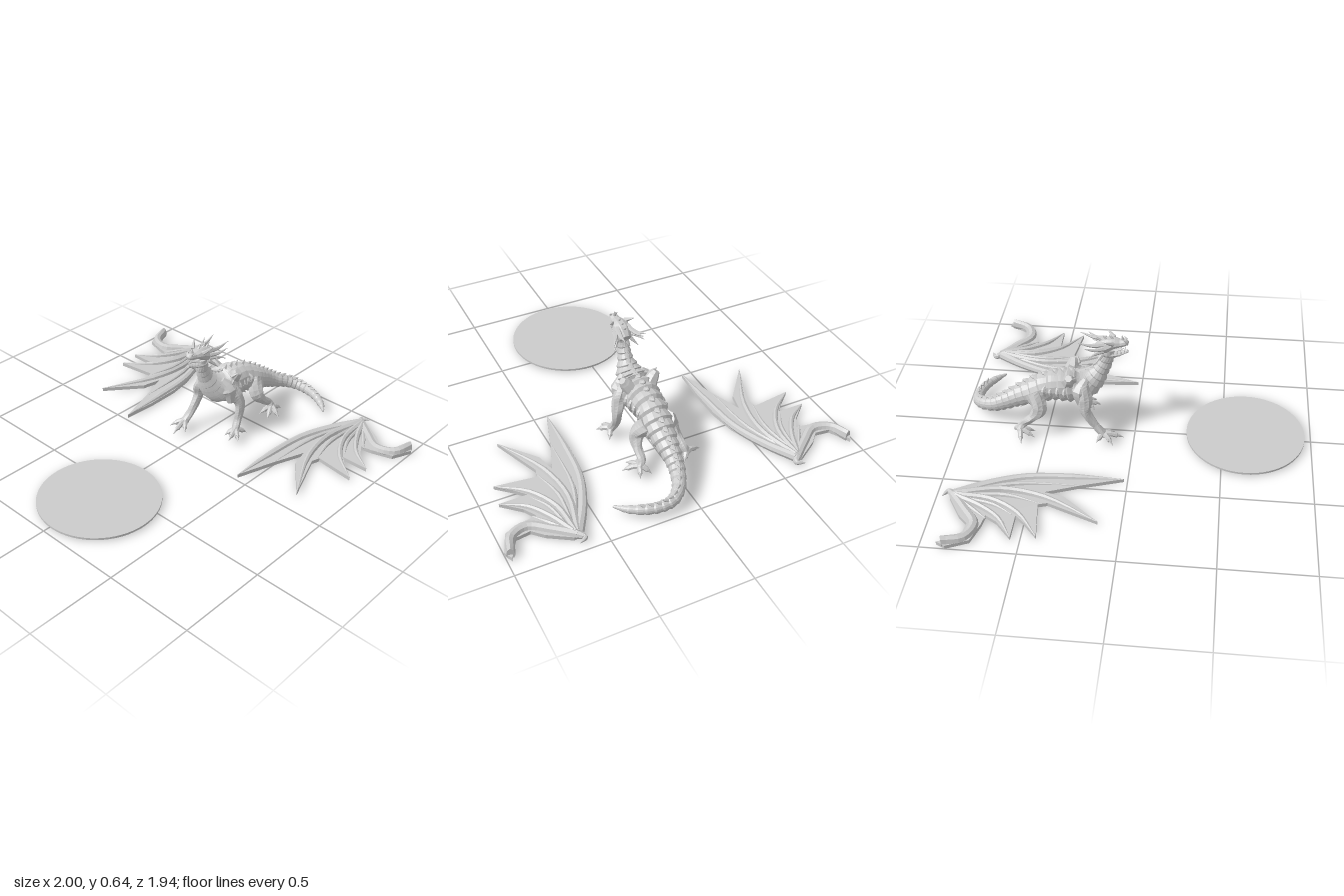
import * as THREE from 'three';

const V = (x, y, z) => new THREE.Vector3(x, y, z);
const Y = V(0, 1, 0), Z = V(0, 0, 1);
const sculpt = new THREE.MeshStandardMaterial({ color: 0xcccccc, flatShading: true });
const smooth = new THREE.MeshStandardMaterial({ color: 0xcccccc });

// Skin a closed body over stations [x, y, z, halfWidth, halfHeight]
function loft(name, st, { sides = 8, steps = 4, up = Y, shape = () => 1 } = {}) {
  const curve = new THREE.CatmullRomCurve3(st.map(s => V(s[0], s[1], s[2])));
  const rings = (st.length - 1) * steps, pos = [], idx = [];
  for (let i = 0; i <= rings; i++) {
    const t = i / rings, f = t * (st.length - 1), k = Math.min(Math.floor(f), st.length - 2);
    const lerp = c => THREE.MathUtils.lerp(st[k][c] ?? st[k][3], st[k + 1][c] ?? st[k + 1][3], f - k);
    const p = curve.getPoint(t), T = curve.getTangent(t);
    const S = T.clone().cross(up).normalize(), N = S.clone().cross(T);
    for (let j = 0; j < sides; j++) {
      const a = j / sides * Math.PI * 2, m = shape(i, a);
      const v = p.clone().addScaledVector(S, Math.cos(a) * lerp(3) * m).addScaledVector(N, Math.sin(a) * lerp(4) * m);
      pos.push(v.x, Math.max(v.y, 0), v.z);
      if (i < rings) {
        const q = i * sides, b = q + (j + 1) % sides;
        idx.push(q + j, q + sides + j, b, b, q + sides + j, b + sides);
      }
    }
  }
  // end caps
  const c0 = pos.length / 3, last = rings * sides;
  for (const e of [st[0], st[st.length - 1]]) pos.push(e[0], e[1], e[2]);
  for (let j = 0; j < sides; j++) {
    const n = (j + 1) % sides;
    idx.push(c0, j, n, c0 + 1, last + n, last + j);
  }
  const g = new THREE.BufferGeometry();
  g.setAttribute('position', new THREE.Float32BufferAttribute(pos, 3));
  g.setIndex(idx);
  g.computeVertexNormals();
  const mesh = new THREE.Mesh(g, sculpt);
  mesh.name = name;
  return mesh;
}

// Curved spike from a to b, bowed upward by lift
function spike(name, a, b, r, lift = 0) {
  const m = a.map((v, i) => (v + b[i]) / 2);
  return loft(name, [[...a, r], [m[0], m[1] + lift, m[2], r * 0.65], [...b, 0.001]], { sides: 6, steps: 3 });
}

function makeBody() {
  const g = new THREE.Group();
  g.name = 'body';
  const spine = [
    [0.035, 0.55, -0.15, 0.036, 0.04], [0.03, 0.47, -0.165, 0.034, 0.038], [0.03, 0.405, -0.195, 0.042, 0.045],
    [0.03, 0.345, -0.24, 0.075, 0.07], [0.03, 0.305, -0.30, 0.105, 0.095], [0.03, 0.295, -0.38, 0.1, 0.1],
    [0.03, 0.28, -0.48, 0.085, 0.085], [0.03, 0.235, -0.58, 0.085, 0.075], [0.03, 0.19, -0.67, 0.064, 0.06],
    [0.03, 0.145, -0.75, 0.048, 0.05], [0.04, 0.108, -0.82, 0.042, 0.042], [0.075, 0.08, -0.895, 0.036, 0.036],
    [0.13, 0.06, -0.938, 0.032, 0.032], [0.2, 0.052, -0.945, 0.029, 0.029], [0.28, 0.047, -0.925, 0.026, 0.026],
    [0.355, 0.042, -0.88, 0.02, 0.02], [0.41, 0.04, -0.83, 0.006, 0.006]];
  // overlapping plates: each swells over four rings, then drops back
  const plates = (i, a) => 0.92 + [0, 0.06, 0.12, 0.17][i % 4] * (0.6 + 0.4 * Math.abs(Math.sin(a)));
  g.add(loft('neckTorsoTail', spine, { sides: 16, steps: 8, shape: plates }));
  // low crest of back plates
  const curve = new THREE.CatmullRomCurve3(spine.map(s => V(s[0], s[1], s[2])));
  for (let i = 1; i < 29; i++) {
    const t = i / 32, k = Math.floor(t * 16), r = THREE.MathUtils.lerp(spine[k][4], spine[k + 1][4], t * 16 - k);
    const T = curve.getTangent(t), S = T.clone().cross(Y).normalize(), N = S.clone().cross(T);
    const a = curve.getPoint(t).addScaledVector(N, r * 0.85);
    const b = a.clone().addScaledVector(N, r * 0.2 + 0.012).addScaledVector(T, 0.028);
    g.add(spike('backPlate', a.toArray(), b.toArray(), 0.008 + r * 0.14));
  }
  for (const s of [-1, 1]) {
    const x = v => 0.03 + s * v;
    // shoulder mass, wing socket and thigh
    g.add(loft('shoulder', [[x(0.05), 0.37, -0.27, 0.02], [x(0.085), 0.31, -0.3, 0.05], [x(0.1), 0.23, -0.3, 0.02]], { up: Z }));
    g.add(loft('wingSocket', [[x(0.05), 0.34, -0.37, 0.045], [x(0.085), 0.385, -0.36, 0.032], [x(0.1), 0.405, -0.36, 0.02]], { sides: 7, up: Z }));
    g.add(spike('socketSpur', [x(0.08), 0.38, -0.33], [x(0.115), 0.41, -0.34], 0.014));
    // ribs
    for (let i = 0; i < 4; i++) {
      const z = -0.38 - i * 0.04;
      g.add(loft('rib', [[x(0.06), 0.345 - i * 0.01, z, 0.008], [x(0.094 - i * 0.004), 0.29, z - 0.01, 0.013], [x(0.06), 0.225, z + 0.01, 0.007]], { sides: 6, up: Z }));
    }
  }
  return g;
}

// Leg through its joints, ending in a foot with clawed toes at the given [x, z] tips
function makeLeg(name, joints, toes) {
  const g = new THREE.Group();
  g.name = name;
  g.add(loft('limb', joints, { sides: 9, steps: 5, up: Z, shape: (i, a) => 1 + 0.08 * Math.sin(a * 3 + i * 0.7) }));
  const [x, , z] = joints[joints.length - 1];
  for (const [tx, tz] of toes) {
    const at = (f, y, r) => [x + (tx - x) * f, y, z + (tz - z) * f, r];
    g.add(loft('toe', [at(0, 0.055, 0.021), at(0.35, 0.055, 0.015), at(0.65, 0.043, 0.014), at(0.72, 0.042, 0.009), at(1, 0.026, 0.001)], { sides: 7, steps: 2 }));
  }
  return g;
}

function makeHead() {
  const g = new THREE.Group(), c = 0.035;
  g.name = 'head';
  g.add(loft('skull', [[c, 0.545, -0.205, 0.032, 0.035], [c, 0.572, -0.165, 0.052, 0.043], [c, 0.588, -0.125, 0.045, 0.032],
    [c, 0.59, -0.085, 0.03, 0.022], [c, 0.595, -0.055, 0.025, 0.02], [c, 0.59, -0.04, 0.012, 0.01]], { sides: 10, steps: 3 }));
  g.add(loft('lowerJaw', [[c, 0.54, -0.185, 0.04, 0.024], [c, 0.522, -0.14, 0.036, 0.016], [c, 0.525, -0.085, 0.022, 0.011],
    [c, 0.54, -0.042, 0.009, 0.008]], { sides: 8 }));
  g.add(loft('tongue', [[c, 0.545, -0.15, 0.016, 0.008], [c, 0.545, -0.1, 0.013, 0.006], [c, 0.555, -0.065, 0.003]], { sides: 6 }));
  g.add(spike('noseHorn', [c, 0.605, -0.07], [c, 0.64, -0.075], 0.011));
  g.add(spike('chinSpike', [c, 0.52, -0.08], [c, 0.495, -0.095], 0.008));
  for (let i = 0; i < 3; i++) g.add(spike('crest', [c, 0.605 - i * 0.008, -0.12 - i * 0.03], [c, 0.64 - i * 0.008, -0.145 - i * 0.035], 0.01));
  for (const s of [-1, 1]) {
    const add = (name, a, b, r, lift) => g.add(spike(name, [c + s * a[0], a[1], a[2]], [c + s * b[0], b[1], b[2]], r, lift));
    add('longHorn', [0.03, 0.595, -0.165], [0.055, 0.61, -0.31], 0.016, -0.012);
    add('sideHorn', [0.042, 0.575, -0.17], [0.085, 0.595, -0.27], 0.014, -0.01);
    add('cheekHorn', [0.04, 0.555, -0.175], [0.09, 0.54, -0.25], 0.013, 0.006);
    add('jawHorn', [0.034, 0.535, -0.175], [0.07, 0.49, -0.215], 0.012);
    add('browHorn', [0.036, 0.602, -0.12], [0.07, 0.632, -0.165], 0.013);
    add('nostril', [0.012, 0.605, -0.05], [0.02, 0.622, -0.065], 0.009);
    for (let i = 0; i < 4; i++) {
      const z = -0.055 - i * 0.02, w = 0.016 + i * 0.005;
      add('upperTooth', [w, 0.58, z], [w, 0.557, z], 0.005);
      add('lowerTooth', [w * 0.8, 0.53, z - 0.005], [w * 0.9, 0.553, z - 0.005], 0.004);
    }
    const eye = new THREE.Mesh(new THREE.SphereGeometry(0.009, 8, 6), sculpt);
    eye.name = 'eye';
    eye.position.set(c + s * 0.042, 0.592, -0.13);
    g.add(eye);
  }
  return g;
}

// Wing lying flat: membrane slab with bones and folds raised on top
function makeWing(name, s) {
  const g = new THREE.Group();
  g.name = name;
  const outline = [[0.43, -0.02], [0.417, -0.21], [0.42, -0.4], [0.445, -0.55], [0.5, -0.7], [0.57, -0.84], [0.62, -0.91],
    [0.66, -0.92], [0.78, -0.845], [0.835, -0.79], [0.915, -0.8], [0.957, -0.87], [0.975, -0.915], [1, -0.865], [0.95, -0.75],
    [0.835, -0.715], [0.77, -0.705], [0.81, -0.64], [0.91, -0.55], [0.755, -0.55], [0.81, -0.49], [0.89, -0.42],
    [0.665, -0.45], [0.65, -0.4], [0.76, -0.12], [0.595, -0.32], [0.57, -0.43], [0.5, -0.24]];
  const slab = new THREE.ExtrudeGeometry(new THREE.Shape(outline.map(([x, z]) => new THREE.Vector2(s * x, z))), { depth: 0.022, bevelEnabled: false });
  slab.rotateX(Math.PI / 2).translate(0, 0.022, 0);
  const membrane = new THREE.Mesh(slab, sculpt);
  membrane.name = 'membrane';
  g.add(membrane);
  // [x, z, half width, half height], sitting on the membrane
  const bone = (n, pts) => g.add(loft(n, pts.map(([x, z, w, h = w]) => [s * x, 0.02, z, w, h]), { sides: 8, steps: 4 }));
  bone('armBone', [[0.975, -0.89, 0.022, 0.042], [0.935, -0.785, 0.027, 0.03], [0.84, -0.752, 0.028], [0.74, -0.82, 0.026], [0.635, -0.905, 0.026]]);
  bone('thumbClaw', [[0.64, -0.9, 0.024], [0.61, -0.94, 0.014], [0.63, -0.955, 0.008], [0.65, -0.965, 0.001]]);
  bone('leadingFinger', [[0.63, -0.905, 0.027], [0.54, -0.75, 0.024], [0.465, -0.55, 0.022], [0.44, -0.3, 0.02], [0.431, -0.025, 0.003]]);
  bone('secondFinger', [[0.63, -0.9, 0.022, 0.03], [0.575, -0.66, 0.018, 0.028], [0.61, -0.42, 0.017, 0.022], [0.757, -0.125, 0.003]]);
  bone('thirdFinger', [[0.64, -0.9, 0.02, 0.03], [0.655, -0.7, 0.017, 0.026], [0.74, -0.54, 0.015, 0.02], [0.887, -0.422, 0.003]]);
  bone('fourthFinger', [[0.65, -0.89, 0.02, 0.03], [0.705, -0.755, 0.016, 0.025], [0.785, -0.635, 0.014, 0.02], [0.907, -0.552, 0.003]]);
  bone('fold', [[0.61, -0.84, 0.01, 0.02], [0.525, -0.6, 0.014, 0.018], [0.5, -0.26, 0.003]]);
  bone('fold', [[0.63, -0.82, 0.01, 0.02], [0.615, -0.62, 0.014, 0.018], [0.655, -0.44, 0.003]]);
  bone('fold', [[0.66, -0.85, 0.01, 0.02], [0.69, -0.68, 0.012, 0.016], [0.75, -0.57, 0.003]]);
  bone('fold', [[0.69, -0.84, 0.01, 0.02], [0.74, -0.77, 0.013, 0.016], [0.79, -0.7, 0.003]]);
  return g;
}

export function createModel() {
  const model = new THREE.Group();
  model.name = 'dragonKit';
  const base = new THREE.Mesh(new THREE.CylinderGeometry(0.335, 0.335, 0.012, 64), smooth);
  base.name = 'baseDisc';
  base.position.set(0.02, 0.014, 0.63);

  const dragon = new THREE.Group();
  dragon.name = 'dragon';
  dragon.add(makeBody(), makeHead(),
    makeLeg('leftFrontLeg', [[0.1, 0.34, -0.31, 0.04], [0.135, 0.27, -0.335, 0.04], [0.155, 0.2, -0.355, 0.03], [0.158, 0.11, -0.335, 0.022], [0.17, 0.055, -0.305, 0.024]],
      [[0.235, -0.25], [0.19, -0.22], [0.135, -0.25], [0.205, -0.36]]),
    makeLeg('rightFrontLeg', [[-0.04, 0.34, -0.29, 0.04], [-0.075, 0.27, -0.27, 0.04], [-0.09, 0.2, -0.27, 0.03], [-0.097, 0.11, -0.215, 0.022], [-0.105, 0.055, -0.17, 0.024]],
      [[-0.165, -0.11], [-0.09, -0.055], [-0.05, -0.11], [-0.155, -0.205]]),
    makeLeg('leftHindLeg', [[0.08, 0.25, -0.57, 0.05], [0.13, 0.18, -0.535, 0.042], [0.145, 0.125, -0.575, 0.026], [0.15, 0.085, -0.63, 0.022], [0.165, 0.055, -0.64, 0.024]],
      [[0.25, -0.605], [0.205, -0.555], [0.14, -0.56], [0.12, -0.69], [0.19, -0.7]]),
    makeLeg('rightHindLeg', [[-0.02, 0.25, -0.57, 0.05], [-0.07, 0.18, -0.535, 0.042], [-0.085, 0.125, -0.575, 0.026], [-0.095, 0.085, -0.63, 0.022], [-0.11, 0.055, -0.645, 0.024]],
      [[-0.2, -0.625], [-0.14, -0.56], [-0.085, -0.565], [-0.075, -0.69]]));
  model.add(base, dragon, makeWing('leftWing', 1), makeWing('rightWing', -1));
  return model;
}
